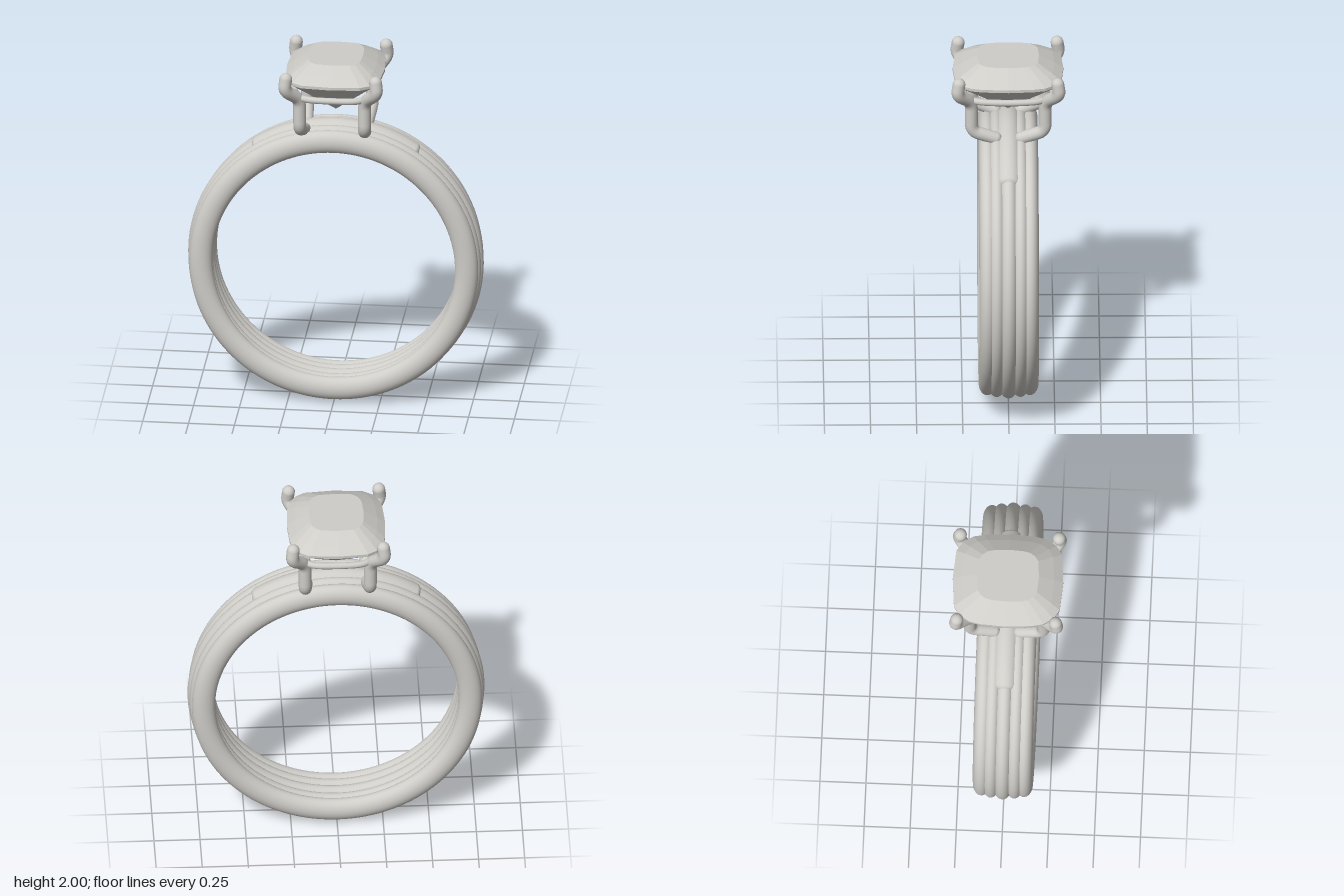
import * as THREE from 'three';

const CENTER_Y = 0.806;

export function createModel() {
  const group = new THREE.Group();
  const metal = new THREE.MeshStandardMaterial({ color: 0xcfcdc8 });
  metal.name = 'pale silver';

  const add = (name, geometry, parent = group) => {
    const mesh = new THREE.Mesh(geometry, metal);
    mesh.name = name;
    parent.add(mesh);
    return mesh;
  };

  // Band: five side-by-side rings with oval sections
  const band = new THREE.Group();
  band.name = 'band';
  band.position.y = CENTER_Y;
  group.add(band);
  const rings = [
    // z, ring radius, radial half-thickness, half-width
    [0, 0.733, 0.073, 0.05],
    [0.064, 0.73, 0.068, 0.046],
    [0.115, 0.7245, 0.0635, 0.047],
  ];
  for (const [z, R, r, w] of rings) {
    for (const side of z ? [1, -1] : [1]) {
      const g = new THREE.TorusGeometry(R, r, 28, 128);
      g.scale(1, 1, w / r);
      g.translate(0, 0, z * side);
      add('bandRing', g, band);
    }
  }

  // Saddle: thicker arc over the top of the band, with rounded ends
  const half = 0.58, R = 0.733, r = 0.082, w = 0.074;
  const arc = new THREE.TorusGeometry(R, r, 28, 40, half * 2);
  arc.rotateZ(Math.PI / 2 - half);
  arc.scale(1, 1, w / r);
  add('saddle', arc, band);
  for (const side of [1, -1]) {
    const a = Math.PI / 2 + side * half;
    const end = new THREE.SphereGeometry(1, 24, 16);
    end.scale(r, 0.045, w);
    end.rotateZ(a);
    end.translate(Math.cos(a) * R, Math.sin(a) * R, 0);
    add('saddleEnd', end, band);
  }

  // Prongs: bent wires with rounded tips
  const bentPath = (pts, radius) => {
    const path = new THREE.CurvePath();
    let from = pts[0];
    for (let i = 1; i < pts.length - 1; i++) {
      const p = pts[i];
      const toward = (q) => p.clone().add(
        q.clone().sub(p).setLength(Math.min(radius, p.distanceTo(q) * 0.45)));
      const a = toward(pts[i - 1]), b = toward(pts[i + 1]);
      path.add(new THREE.LineCurve3(from, a));
      path.add(new THREE.QuadraticBezierCurve3(a, p, b));
      from = b;
    }
    path.add(new THREE.LineCurve3(from, pts[pts.length - 1]));
    return path;
  };
  for (const sx of [1, -1]) {
    for (const sz of [1, -1]) {
      const pts = [
        [0.165, 1.58, 0.07], [0.177, 1.63, 0.2], [0.177, 1.81, 0.2],
        [0.253, 1.885, 0.278], [0.245, 1.95, 0.268],
      ].map(([x, y, z]) => new THREE.Vector3(x * sx, y, z * sz));
      const prong = new THREE.Group();
      prong.name = 'prong';
      group.add(prong);
      add('prongWire', new THREE.TubeGeometry(bentPath(pts, 0.045), 48, 0.035, 16), prong);
      for (const p of [pts[0], pts[4]]) {
        add('prongEnd', new THREE.SphereGeometry(0.035, 16, 12), prong).position.copy(p);
      }
    }
  }

  // Cushion outline shared by the stone and the rail, running from +z to +x
  const quarter = [[0, 0.3], [0.16, 0.287], [0.21, 0.255], [0.245, 0.2], [0.258, 0.14], [0.267, 0]];
  const outline = [];
  for (let q = 0; q < 4; q++) {
    const sx = q < 2 ? 1 : -1, sz = q === 0 || q === 3 ? 1 : -1;
    const pts = q % 2 ? [...quarter].reverse() : quarter;
    pts.slice(0, -1).forEach(([x, z]) => outline.push([x * sx, z * sz]));
  }

  // Rail joining the prongs beneath the stone
  const railCurve = new THREE.CatmullRomCurve3(
    outline.map(([x, z]) => new THREE.Vector3(x * 0.82, 1.822, z * 0.82)), true);
  add('galleryRail', new THREE.TubeGeometry(railCurve, 96, 0.018, 12, true));

  // Faceted stone: loops from culet to table
  const levels = [[1.676, 0], [1.83, 0.66], [1.908, 1], [1.924, 1], [1.955, 0.84], [2, 0.56], [2, 0]];
  const pos = [];
  const n = outline.length;
  const at = ([y, s], i) => [outline[i % n][0] * s, y, outline[i % n][1] * s];
  for (let l = 0; l < levels.length - 1; l++) {
    const lo = levels[l], hi = levels[l + 1];
    for (let i = 0; i < n; i++) {
      const a = at(lo, i), b = at(lo, i + 1), c = at(hi, i + 1), d = at(hi, i);
      if (lo[1] > 0) pos.push(...a, ...b, ...c);
      if (lo[1] === 0) pos.push(...a, ...c, ...d);
      else if (hi[1] > 0) pos.push(...a, ...c, ...d);
    }
  }
  const stone = new THREE.BufferGeometry();
  stone.setAttribute('position', new THREE.Float32BufferAttribute(pos, 3));
  stone.computeVertexNormals();
  add('stone', stone);

  return group;
}
